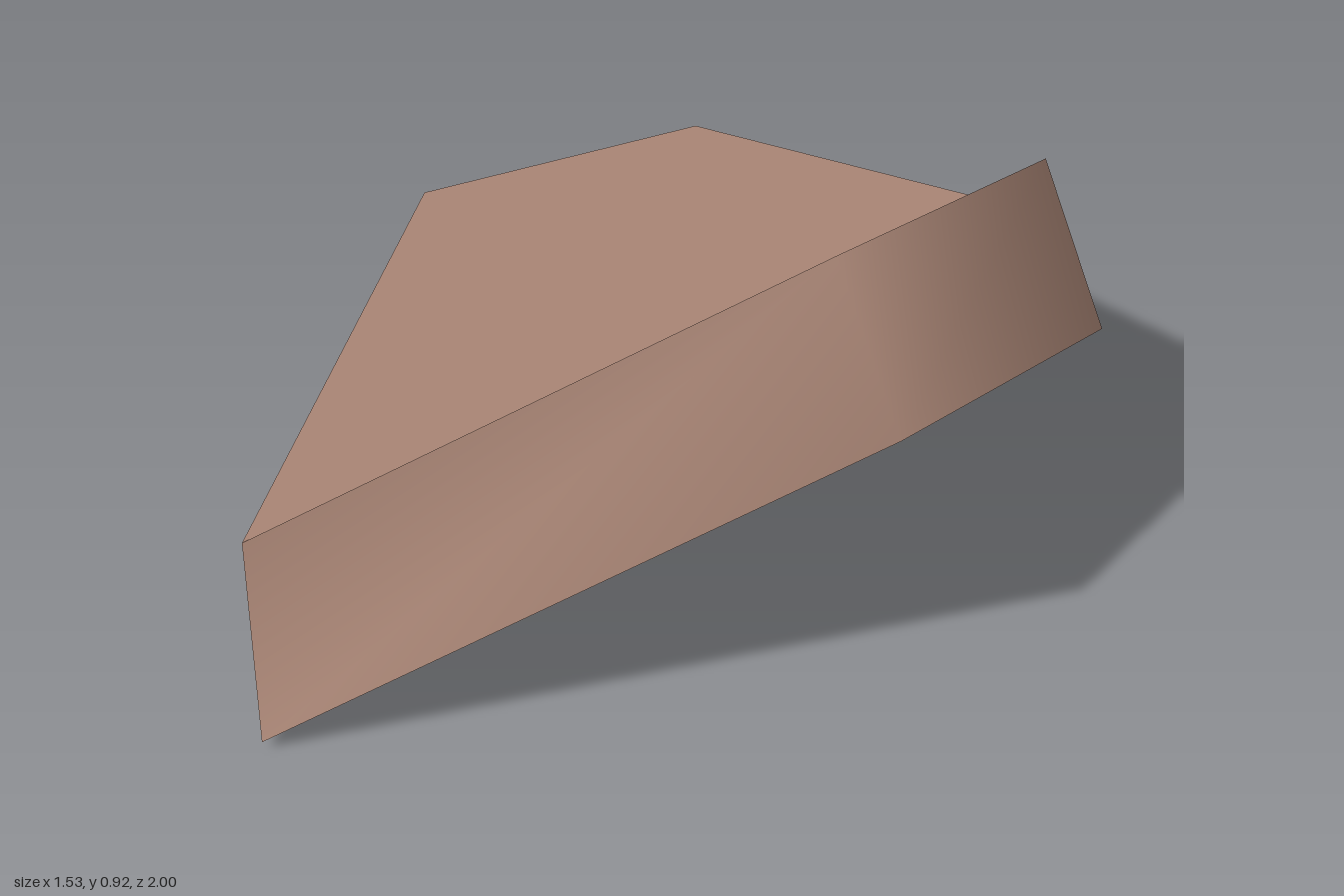
import * as THREE from 'three';

// Outline corners, counter-clockwise seen from above, starting at the back of the fold
const upper = [
  [0.01, 0.365, -0.97], [-0.61, 0.353, -0.68], [-0.77, 0.35, -0.03],
  [0.01, 0.365, 0.915], [0.57, 0.92, -0.03], [0.46, 0.81, -0.68],
];
const lower = [
  [0.165, 0.02, -1.0], [-0.54, 0.004, -0.68], [-0.69, 0.0, -0.03],
  [0.165, 0.02, 1.0], [0.765, 0.62, -0.03], [0.655, 0.51, -0.68],
];

// Smooth surface from shared corners
function surface(name, points, index, material) {
  const geometry = new THREE.BufferGeometry();
  geometry.setAttribute('position', new THREE.Float32BufferAttribute(points.flat(), 3));
  geometry.setIndex(index);
  geometry.computeVertexNormals();
  const mesh = new THREE.Mesh(geometry, material);
  mesh.name = name;
  return mesh;
}

export function createModel() {
  const group = new THREE.Group();
  group.name = 'foldedSlab';
  const clay = new THREE.MeshStandardMaterial({ color: 0xa98575 });
  clay.name = 'clay brown';

  // Two flat top panels meeting in a sharp fold
  const quad = [0, 1, 2, 0, 2, 3];
  const flatPanel = [0, 1, 2, 3].map((i) => upper[i]);
  const raisedPanel = [3, 4, 5, 0].map((i) => upper[i]);
  group.add(surface('flatTopPanel', flatPanel, quad, clay));
  group.add(surface('raisedTopPanel', raisedPanel, quad, clay));

  // Rim wall: one smooth strip, split at the back of the fold
  const n = upper.length;
  const ring = [];
  const strip = [];
  for (let i = 0; i <= n; i++) {
    ring.push(upper[i % n], lower[i % n]);
    if (i < n) {
      const a = 2 * i;
      strip.push(a + 1, a + 3, a + 2, a + 1, a + 2, a);
    }
  }
  group.add(surface('rimWall', ring, strip, clay));

  // Underside, shaded smoothly across the fold
  group.add(surface('underside', lower, [0, 3, 2, 0, 2, 1, 3, 0, 5, 3, 5, 4], clay));

  return group;
}
